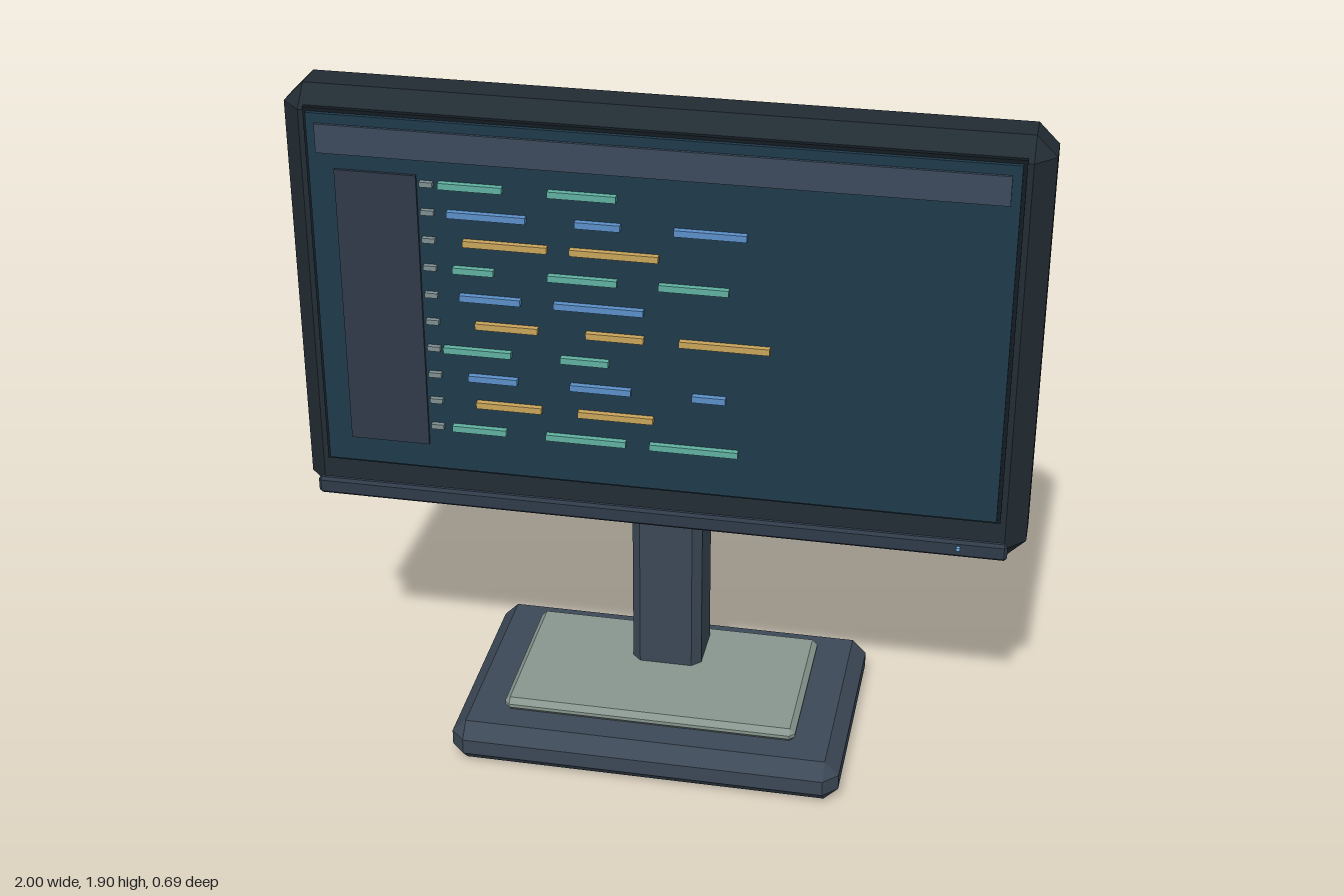
import * as THREE from 'three';
import { ConvexGeometry } from 'three/addons/geometries/ConvexGeometry.js';

const COLORS = {
  shell: 0x222c33, stand: 0x3c4856, pad: 0x87968f, panel: 0x2f3a49, lip: 0x141c22,
  screen: 0x1f3a4a, header: 0x3c4a5c, sidebar: 0x2f3948, gutter: 0x7f8f92,
  teal: 0x5fb0a0, blue: 0x5a8fc8, gold: 0xc8a45a, light: 0x6fb4e8,
};
const materials = {};
for (const key in COLORS) {
  materials[key] = new THREE.MeshStandardMaterial({ color: COLORS[key], flatShading: true });
}

// Box with every edge cut at 45 degrees by c, given by its extents
function chamferGeometry(x0, x1, y0, y1, z0, z1, c) {
  const half = [(x1 - x0) / 2, (y1 - y0) / 2, (z1 - z0) / 2];
  const points = [];
  for (const sx of [-1, 1]) for (const sy of [-1, 1]) for (const sz of [-1, 1]) {
    for (let axis = 0; axis < 3; axis++) {
      const h = half.map((v, i) => (i === axis ? v : v - c));
      points.push(new THREE.Vector3(sx * h[0], sy * h[1], sz * h[2]));
    }
  }
  return new ConvexGeometry(points).translate((x0 + x1) / 2, (y0 + y1) / 2, (z0 + z1) / 2);
}

function block(parent, name, color, [x0, x1], [y0, y1], [z0, z1], c = 0) {
  const geometry = c > 0
    ? chamferGeometry(x0, x1, y0, y1, z0, z1, c)
    : new THREE.BoxGeometry(x1 - x0, y1 - y0, z1 - z0)
      .translate((x0 + x1) / 2, (y0 + y1) / 2, (z0 + z1) / 2);
  const mesh = new THREE.Mesh(geometry, materials[color]);
  mesh.name = name;
  parent.add(mesh);
  return mesh;
}

// Start and end x of each dash, row by row
const CODE_ROWS = [
  [-0.57, -0.4, -0.28, -0.1],
  [-0.55, -0.34, -0.21, -0.09, 0.05, 0.24],
  [-0.51, -0.285, -0.225, 0.01],
  [-0.54, -0.43, -0.285, -0.1, 0.01, 0.195],
  [-0.525, -0.36, -0.27, -0.03],
  [-0.485, -0.315, -0.185, -0.03, 0.065, 0.305],
  [-0.575, -0.39, -0.255, -0.125],
  [-0.51, -0.375, -0.23, -0.065, 0.1, 0.19],
  [-0.49, -0.31, -0.21, -0.005],
  [-0.56, -0.41, -0.3, -0.08, -0.015, 0.225],
];

export function createModel() {
  const monitor = new THREE.Group();
  monitor.name = 'monitor';

  // Stand
  const stand = new THREE.Group();
  stand.name = 'stand';
  monitor.add(stand);
  block(stand, 'base', 'stand', [-0.55, 0.55], [0, 0.125], [-0.345, 0.345], 0.04);
  block(stand, 'basePad', 'pad', [-0.415, 0.415], [0.125, 0.165], [-0.24, 0.24], 0.015);
  block(stand, 'post', 'stand', [-0.1, 0.1], [0.13, 0.92], [-0.215, -0.025], 0.025);

  // Housing
  const housing = new THREE.Group();
  housing.name = 'housing';
  monitor.add(housing);
  block(housing, 'shell', 'shell', [-1, 1], [0.685, 1.905], [-0.1, 0.1], 0.055);
  block(housing, 'backPanel', 'panel', [-0.845, 0.845], [0.87, 1.76], [-0.13, -0.08], 0.022);
  block(housing, 'chinBar', 'panel', [-0.955, 0.955], [0.72, 0.77], [0.109, 0.134], 0.008);
  block(housing, 'powerLight', 'light', [0.82, 0.83], [0.745, 0.755], [0.13, 0.143]);
  block(housing, 'screenLip', 'lip', [-0.93, 0.93], [0.82, 1.86], [0.09, 0.104]);

  // Display
  const display = new THREE.Group();
  display.name = 'display';
  monitor.add(display);
  block(display, 'screen', 'screen', [-0.92, 0.92], [0.83, 1.85], [0.104, 0.116]);
  block(display, 'headerBar', 'header', [-0.896, 0.896], [1.743, 1.823], [0.112, 0.124]);
  block(display, 'sidebar', 'sidebar', [-0.85, -0.63], [0.905, 1.7], [0.112, 0.124]);

  // Rows of dashes with a gutter mark each
  const rowColors = ['teal', 'blue', 'gold'];
  CODE_ROWS.forEach((row, i) => {
    const y = 1.679 - i * 0.0793;
    const yRange = [y - 0.009, y + 0.009];
    block(display, 'gutterMark', 'gutter', [-0.62, -0.585], [y - 0.007, y + 0.007], [0.114, 0.13]);
    for (let k = 0; k < row.length; k += 2) {
      block(display, 'codeDash', rowColors[i % 3], [row[k], row[k + 1]], yRange, [0.116, 0.133]);
    }
  });

  return monitor;
}
